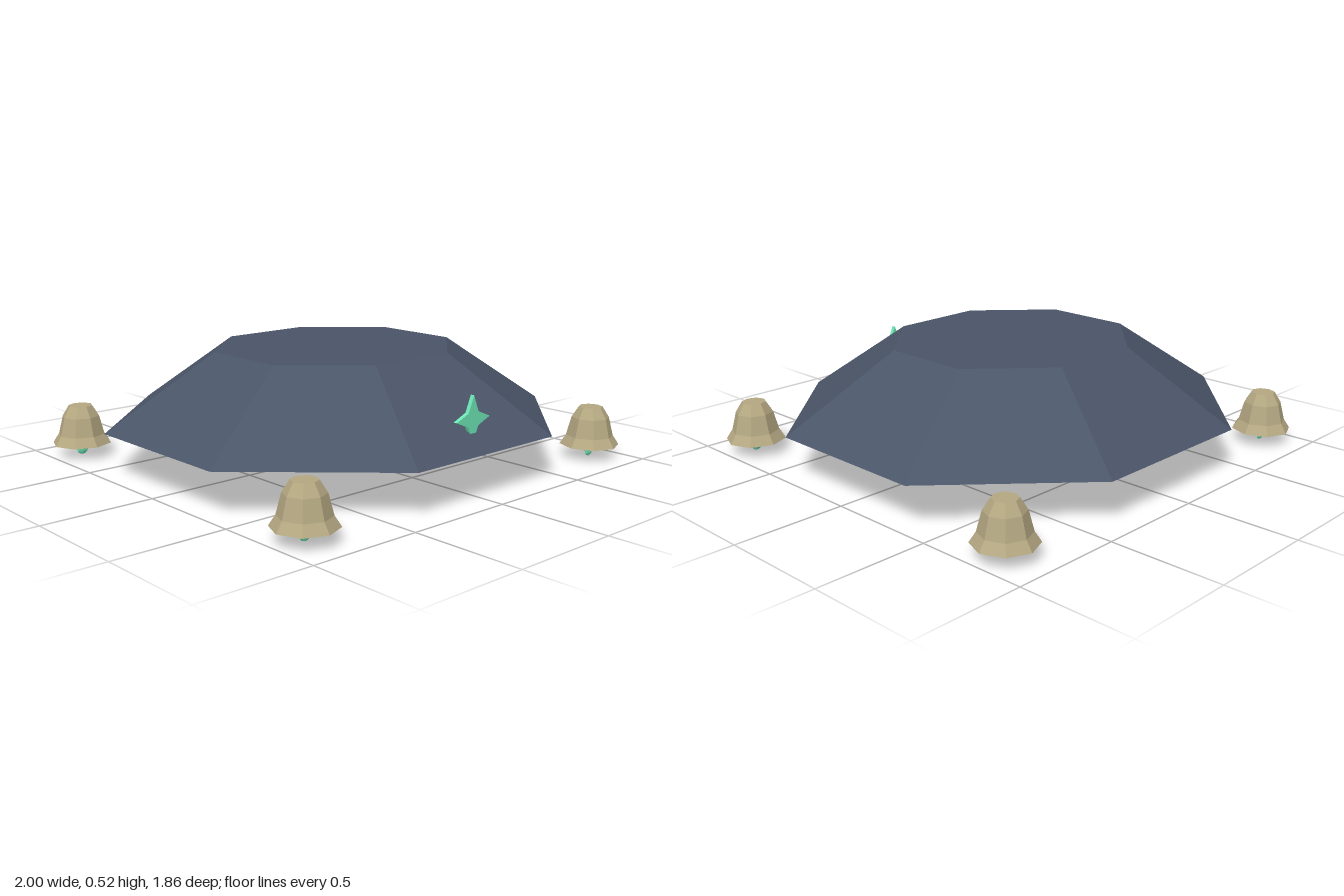
import * as THREE from 'three';

const mat = (color) => new THREE.MeshStandardMaterial({ color, flatShading: true });

function part(name, geometry, material, parent, x = 0, y = 0, z = 0) {
  const mesh = new THREE.Mesh(geometry, material);
  mesh.name = name;
  mesh.position.set(x, y, z);
  parent.add(mesh);
  return mesh;
}

export function createModel() {
  const model = new THREE.Group();
  model.name = 'canopy';
  const slate = mat(0x4a5568);
  const brass = mat(0xb5a882);
  const jade = mat(0x6ee7b7);

  // Eight-sided roof with flat sides facing the axes, slightly shorter in depth
  const roofGeo = new THREE.CylinderGeometry(0.568, 1.066, 0.325, 8);
  roofGeo.rotateY(Math.PI / 8);
  roofGeo.scale(1, 1, 0.94);
  part('roof', roofGeo, slate, model, 0, 0.3575, 0);

  // Thin four-pointed star set into the front slope
  const star = new THREE.Shape();
  for (let i = 0; i < 8; i++) {
    const r = i % 2 ? 0.042 : 0.1;
    const a = (i * Math.PI) / 4;
    star[i ? 'lineTo' : 'moveTo'](r * Math.cos(a), r * Math.sin(a));
  }
  star.closePath();
  const starGeo = new THREE.ExtrudeGeometry(star, { depth: 0.018, bevelEnabled: false });
  starGeo.translate(0, 0, -0.009);
  part('starEmblem', starGeo, jade, model, 0, 0.32, 0.828);

  // Flared bell, closed at top and bottom, with a flattened clapper below
  const profile = [[0, 0.057], [0.135, 0.057], [0.107, 0.1], [0.085, 0.185], [0.054, 0.234], [0, 0.234]];
  const bellGeo = new THREE.LatheGeometry(profile.map(([r, y]) => new THREE.Vector2(r, y)), 8);
  const clapperGeo = new THREE.SphereGeometry(0.029, 8, 6);
  clapperGeo.scale(1, 1, 0.32);

  for (const sx of [-1, 1]) {
    for (const sz of [-1, 1]) {
      const corner = new THREE.Group();
      corner.name = (sz > 0 ? 'front' : 'back') + (sx > 0 ? 'Left' : 'Right') + 'Bell';
      corner.position.set(sx * 0.864, 0, sz * 0.797);
      part('bell', bellGeo, brass, corner);
      part('clapper', clapperGeo, jade, corner, 0, 0.029, 0);
      model.add(corner);
    }
  }
  return model;
}
